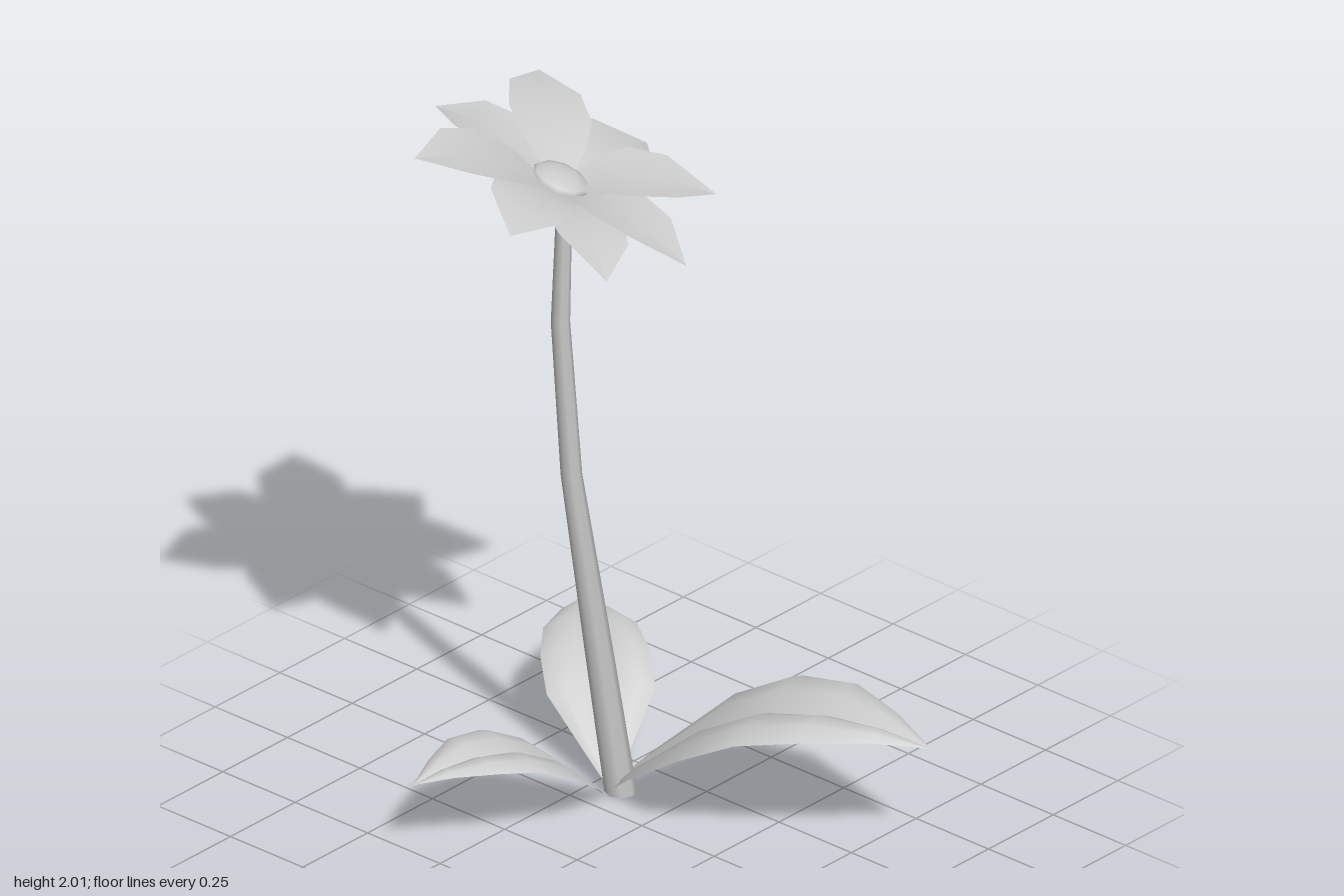
import * as THREE from 'three';
import { mergeGeometries } from 'three/addons/utils/BufferGeometryUtils.js';

const material = new THREE.MeshStandardMaterial({ color: 0xcccccc, side: THREE.DoubleSide });

// Smooth sheet through rows of points
function sheet(rows) {
  const n = rows[0].length, index = [];
  for (let i = 0; i < rows.length - 1; i++) {
    for (let j = 0; j < n - 1; j++) {
      const a = i * n + j, b = a + 1, c = a + n, d = c + 1;
      index.push(a, b, c, b, d, c);
    }
  }
  const g = new THREE.BufferGeometry().setFromPoints(rows.flat());
  g.setIndex(index);
  g.computeVertexNormals();
  return g;
}

// Bent, tapering eight-sided stem; each row is x, y, z, radius
function stem() {
  const rows = [
    [0.105, 0, -0.167, 0.042], [0.074, 0.4, -0.213, 0.037], [0.03, 0.92, -0.27, 0.028],
    [-0.01, 1.38, -0.272, 0.025], [-0.04, 1.8, -0.23, 0.02],
  ];
  const g = new THREE.CylinderGeometry(1, 1, 4, 8, 4);
  const p = g.attributes.position;
  for (let i = 0; i < p.count; i++) {
    const [x, y, z, r] = rows[Math.round(p.getY(i) + 2)];
    p.setXYZ(i, x + p.getX(i) * r, y, z + p.getZ(i) * r);
  }
  return g;
}

// Arched leaf: two rounded halves meeting in a sunken midrib
function leaf(base, tip) {
  const dir = new THREE.Vector3().subVectors(tip, base).setY(0);
  const length = dir.length();
  dir.normalize();
  const across = new THREE.Vector3(dir.z, 0, -dir.x);
  // along, height, half width, fold depth (all relative to length)
  const profile = [
    [0, 0.005, 0.03, 0.01], [0.09, 0.09, 0.095, 0.02], [0.31, 0.265, 0.232, 0.04],
    [0.49, 0.355, 0.236, 0.045], [0.68, 0.388, 0.198, 0.045], [0.85, 0.382, 0.1, 0.025], [1, 0.353, 0, 0],
  ];
  const halves = [-1, 1].map((side) => sheet(profile.map(([t, h, w, fold]) =>
    [0, 0.35, 0.7, 1].map((s, k) => base.clone()
      .addScaledVector(dir, t * length)
      .addScaledVector(across, side * s * w * length)
      .setY((h + fold * [0, 0.8, 0.85, 0.15][k]) * length)))));
  return mergeGeometries(halves);
}

// Petal arching from the flower centre to its tip
function petal(center, tip) {
  const dir = new THREE.Vector3().subVectors(tip, center);
  // Side direction lies in the tilted plane of the flower
  const across = new THREE.Vector3().crossVectors(flowerNormal, dir).normalize();
  const profile = [[0.05, 0.025], [0.25, 0.085], [0.47, 0.117], [0.72, 0.1], [1, 0]];
  return sheet(profile.map(([t, w]) => [-1, 0, 1].map((s) => {
    const v = center.clone().addScaledVector(dir, t).addScaledVector(across, s * w);
    v.y += 0.2 * t * (1 - t) + (s ? 0.01 : -0.005) * (w / 0.117);
    return v;
  })));
}

const flowerNormal = new THREE.Vector3(0.23, 1, 0.31).normalize();

export function createModel() {
  const group = new THREE.Group();
  const add = (name, geometry) => {
    const mesh = new THREE.Mesh(geometry, material);
    mesh.name = name;
    group.add(mesh);
    return mesh;
  };
  const V = (x, y, z) => new THREE.Vector3(x, y, z);

  add('stem', stem());

  // Leaves around the foot
  [
    [V(0.1, 0, -0.19), V(0.366, 0, 0.671)],
    [V(0.125, 0, -0.22), V(0.52, 0, -0.68)],
    [V(0.06, 0, -0.19), V(-0.52, 0, -0.325)],
  ].forEach(([base, tip], i) => add('leaf' + (i + 1), leaf(base, tip)));

  // Ring of eight petals
  const center = V(-0.055, 1.795, -0.232);
  [
    [-0.15, 1.955, -0.58], [0.23, 1.917, -0.56], [0.34, 1.757, -0.287], [0.26, 1.75, 0.025],
    [0, 1.69, 0.154], [-0.27, 1.74, 0.12], [-0.413, 1.857, -0.086], [-0.453, 1.995, -0.38],
  ].forEach((tip, i) => add('petal' + (i + 1), petal(center, V(...tip))));

  // Domed flower centre
  const disc = add('flowerCenter', new THREE.SphereGeometry(0.083, 10, 6));
  disc.scale.y = 0.38;
  disc.position.set(-0.057, 1.822, -0.233);
  disc.quaternion.setFromUnitVectors(V(0, 1, 0), flowerNormal);

  return group;
}
